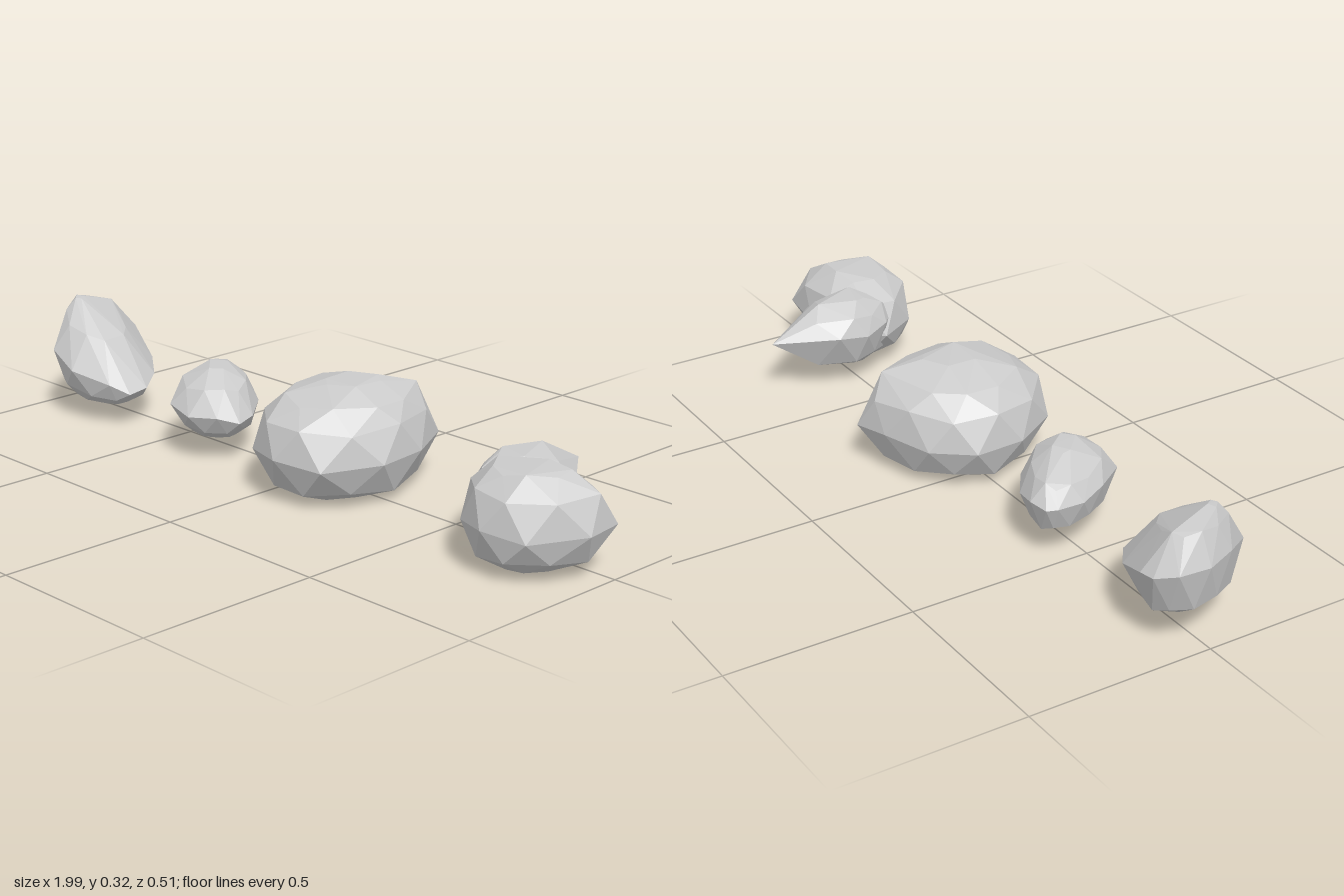
import * as THREE from 'three';
import { ConvexGeometry } from 'three/addons/geometries/ConvexGeometry.js';

const material = new THREE.MeshStandardMaterial({ color: 0xcccccc, flatShading: true });

// Faceted stone: the plan outline [x, z] is repeated at several levels
// [y, scale, centre x, centre z, tilt along x], every second one turned by half a step.
function stone(name, outline, levels) {
  const n = outline.length;
  const widest = levels.findIndex((l) => l[1] === 1);
  const [, , ox, oz] = levels[widest];
  const points = [];
  levels.forEach(([y, s, cx, cz, tilt = 0], k) => {
    const half = Math.abs(k - widest) % 2 ? 0.5 : 0;
    outline.forEach(([x, z], i) => {
      const [x2, z2] = outline[(i + 1) % n];
      const dx = (x + (x2 - x) * half - ox) * s;
      const dz = (z + (z2 - z) * half - oz) * s;
      const rough = k === 0 ? 0 : 0.007 * Math.sin(i * 2.4 + k * 1.7);
      points.push(new THREE.Vector3(cx + dx, y + dx * tilt + rough, cz + dz));
    });
  });
  const mesh = new THREE.Mesh(new ConvexGeometry(points), material);
  mesh.name = name;
  return mesh;
}

export function createModel() {
  const group = new THREE.Group();
  group.name = 'rocks';

  // Slanted stone at the far right
  group.add(stone('slantedRock',
    [[-1, -0.1], [-0.95, -0.136], [-0.9, -0.136], [-0.77, -0.09], [-0.69, -0.03], [-0.64, 0.04],
      [-0.64, 0.1], [-0.68, 0.14], [-0.79, 0.185], [-0.89, 0.17], [-0.96, 0.08], [-1, -0.01]],
    [[0.055, 0.55, -0.81, 0.04, -0.05], [0.09, 0.87, -0.82, 0.03, -0.1], [0.165, 1, -0.82, 0.02, -0.35],
      [0.26, 0.62, -0.85, 0.035, -0.35], [0.315, 0.1, -0.905, 0.06]]));

  // Small pebble
  group.add(stone('smallRock',
    [[-0.51, -0.095], [-0.495, -0.12], [-0.44, -0.13], [-0.355, -0.105], [-0.275, -0.05], [-0.205, 0.035],
      [-0.195, 0.09], [-0.23, 0.14], [-0.3, 0.18], [-0.39, 0.165], [-0.47, 0.065], [-0.505, -0.015]],
    [[0.052, 0.5, -0.355, 0.025], [0.085, 0.87, -0.355, 0.025], [0.14, 1, -0.355, 0.025, -0.12],
      [0.195, 0.78, -0.36, 0.025], [0.23, 0.28, -0.35, 0.03]]));

  // Large round boulder
  group.add(stone('largeRock',
    [[-0.115, -0.075], [-0.035, -0.175], [0.095, -0.23], [0.205, -0.25], [0.3, -0.085],
      [0.315, 0.065], [0.235, 0.21], [0.105, 0.25], [-0.025, 0.2], [-0.11, 0.065]],
    [[0, 0.48, 0.09, 0.01], [0.035, 0.86, 0.1, 0], [0.12, 1, 0.1, 0],
      [0.205, 0.95, 0.1, 0], [0.255, 0.7, 0.11, -0.01], [0.285, 0.32, 0.125, -0.01]]));

  // Notched stone: a rounded body joined to a pointed spur
  const notched = new THREE.Group();
  notched.name = 'notchedRock';
  notched.add(stone('notchedRockBody',
    [[0.62, 0.08], [0.69, 0.195], [0.79, 0.24], [0.905, 0.21], [0.99, 0.08],
      [0.975, -0.035], [0.825, -0.05], [0.68, -0.02]],
    [[0.012, 0.38, 0.81, 0.1], [0.05, 0.84, 0.81, 0.1], [0.12, 1, 0.81, 0.09],
      [0.205, 0.93, 0.81, 0.09], [0.253, 0.5, 0.81, 0.1]]));
  notched.add(stone('notchedRockSpur',
    [[0.67, -0.257], [0.74, -0.13], [0.82, -0.065], [0.8, 0.06], [0.69, 0.14],
      [0.62, 0.08], [0.58, 0], [0.58, -0.09]],
    [[0.022, 0.32, 0.73, 0.04], [0.075, 0.8, 0.695, 0.01], [0.16, 1, 0.69, 0],
      [0.205, 0.78, 0.685, 0], [0.235, 0.4, 0.69, 0]]));
  group.add(notched);

  return group;
}
